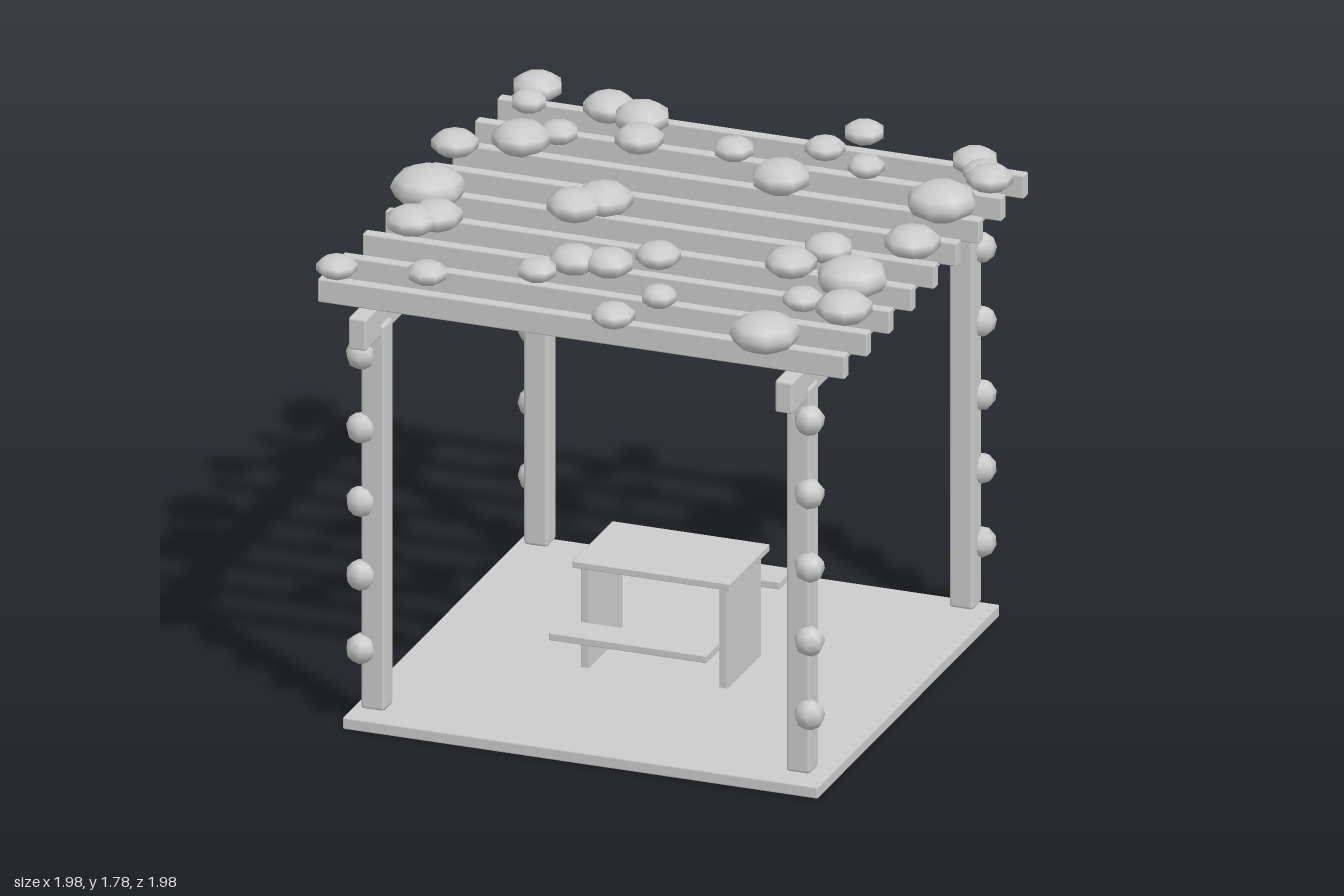
import * as THREE from 'three';
import { RoundedBoxGeometry } from 'three/addons/geometries/RoundedBoxGeometry.js';

const CX = 0.01; // centre line of the timber frame

export function createModel() {
  const model = new THREE.Group();
  const material = new THREE.MeshStandardMaterial({ color: 0xcccccc });

  const add = (name, geometry, x, y, z, parent = model) => {
    const mesh = new THREE.Mesh(geometry, material);
    mesh.name = name;
    mesh.position.set(x, y, z);
    parent.add(mesh);
    return mesh;
  };
  const box = (name, w, h, d, x, y, z, parent) =>
    add(name, new RoundedBoxGeometry(w, h, d, 1, Math.min(w, h, d) * 0.15), x, y, z, parent);

  // Deck
  box('deck', 1.75, 0.045, 1.75, CX, 0.0275, 0);

  // Corner posts, each with a column of climbing foliage on its outer corner
  const bud = new THREE.SphereGeometry(0.055, 7, 5);
  for (const sx of [-1, 1]) {
    for (const sz of [-1, 1]) {
      box('post', 0.09, 1.44, 0.09, CX + sx * 0.783, 0.79, sz * 0.783);
      for (let i = 0; i < 5; i++) {
        const leaf = add('postFoliage', bud, CX + sx * 0.825, 0.295 + i * 0.274, sz * 0.825);
        leaf.rotation.set(0.25 * sz, i * 0.9, 0.2 * sx);
      }
    }
    // Side beam carrying the rafters
    box('beam', 0.066, 0.12, 1.94, CX + sx * 0.785, 1.525, 0);
  }

  // Rafters
  for (let i = 0; i < 9; i++) {
    box('rafter', 1.94, 0.088, 0.044, CX + 0.007, 1.63, (i - 4) * 0.2155);
  }

  // Canopy foliage: x, z, radius
  const canopy = [
    [-0.83, -0.91, 0.093], [-0.81, -0.775, 0.066], [-0.535, -0.83, 0.096], [-0.395, -0.78, 0.102],
    [0.365, -0.93, 0.075], [0.81, -0.83, 0.085], [0.915, -0.70, 0.086], [0.875, -0.745, 0.075],
    [0.29, -0.75, 0.074], [-0.337, -0.6, 0.09], [0, -0.63, 0.075], [0.48, -0.647, 0.068],
    [-0.615, -0.555, 0.072], [-0.717, -0.46, 0.108], [0.24, -0.455, 0.108], [0.834, -0.45, 0.126],
    [-0.914, -0.337, 0.086], [0.87, -0.075, 0.102], [-0.257, -0.053, 0.107], [-0.332, 0.032, 0.102],
    [-0.86, 0.06, 0.133], [0.62, 0.08, 0.09], [0.545, 0.246, 0.094], [0.79, 0.294, 0.128],
    [-0.743, 0.289, 0.096], [-0.807, 0.364, 0.094], [0.096, 0.348, 0.083], [-0.16, 0.487, 0.091],
    [-0.037, 0.47, 0.09], [-0.246, 0.62, 0.074], [0.7, 0.535, 0.074], [0.86, 0.556, 0.103],
    [0.23, 0.69, 0.066], [-0.588, 0.78, 0.074], [-0.898, 0.84, 0.075], [0.685, 0.861, 0.124],
    [0.144, 0.904, 0.079],
  ];
  const smallClump = new THREE.SphereGeometry(1, 8, 5);
  const bigClump = new THREE.SphereGeometry(1, 8, 6);
  canopy.forEach(([x, z, r]) => {
    const clump = add('canopyFoliage', r > 0.115 ? bigClump : smallClump, x, 1.71, z);
    clump.scale.set(r, Math.max(0.04, r * 0.54), r);
    clump.rotation.y = Math.PI / 8 * Math.round(x * 10);
  });

  // Hanging flower clusters: x, z
  const clusters = [
    [-0.51, 0.085], [-0.455, -0.48], [-0.25, 0.08], [-0.11, 0.485], [-0.005, 0.285],
    [0.015, -0.32], [0.2, -0.4], [0.34, -0.615], [0.675, 0.08], [0.71, -0.48],
  ];
  const petal = new THREE.IcosahedronGeometry(0.0125, 0);
  clusters.forEach(([x, z], n) => {
    const cluster = new THREE.Group();
    cluster.name = 'flowerCluster';
    cluster.position.set(x, 0, z);
    model.add(cluster);
    for (let i = 0; i < 12; i++) {
      const a = i * 2.4 + n;
      add('petal', petal, Math.cos(a) * 0.021, 1.555 - i * 0.0093, Math.sin(a) * 0.008, cluster);
    }
  });

  // Lantern hanging in the middle
  const lantern = new THREE.Group();
  lantern.name = 'lantern';
  lantern.position.set(CX, 0, 0.005);
  model.add(lantern);
  add('lanternBody', new THREE.CylinderGeometry(0.035, 0.029, 0.1, 8), 0, 1.308, 0, lantern);
  add('lanternCap', new THREE.CylinderGeometry(0.035, 0.047, 0.012, 8), 0, 1.366, 0, lantern);
  add('lanternRing', new THREE.TorusGeometry(0.012, 0.004, 5, 8), 0, 1.385, 0, lantern);

  // Table on two panel legs, with a floating bench on each long side
  box('tableTop', 0.58, 0.026, 0.385, CX, 0.44, 0);
  for (const s of [-1, 1]) {
    box('tableLeg', 0.032, 0.385, 0.325, CX + s * 0.255, 0.237, 0);
    box('bench', 0.58, 0.028, 0.135, CX, 0.26, s * 0.352);
  }

  return model;
}
